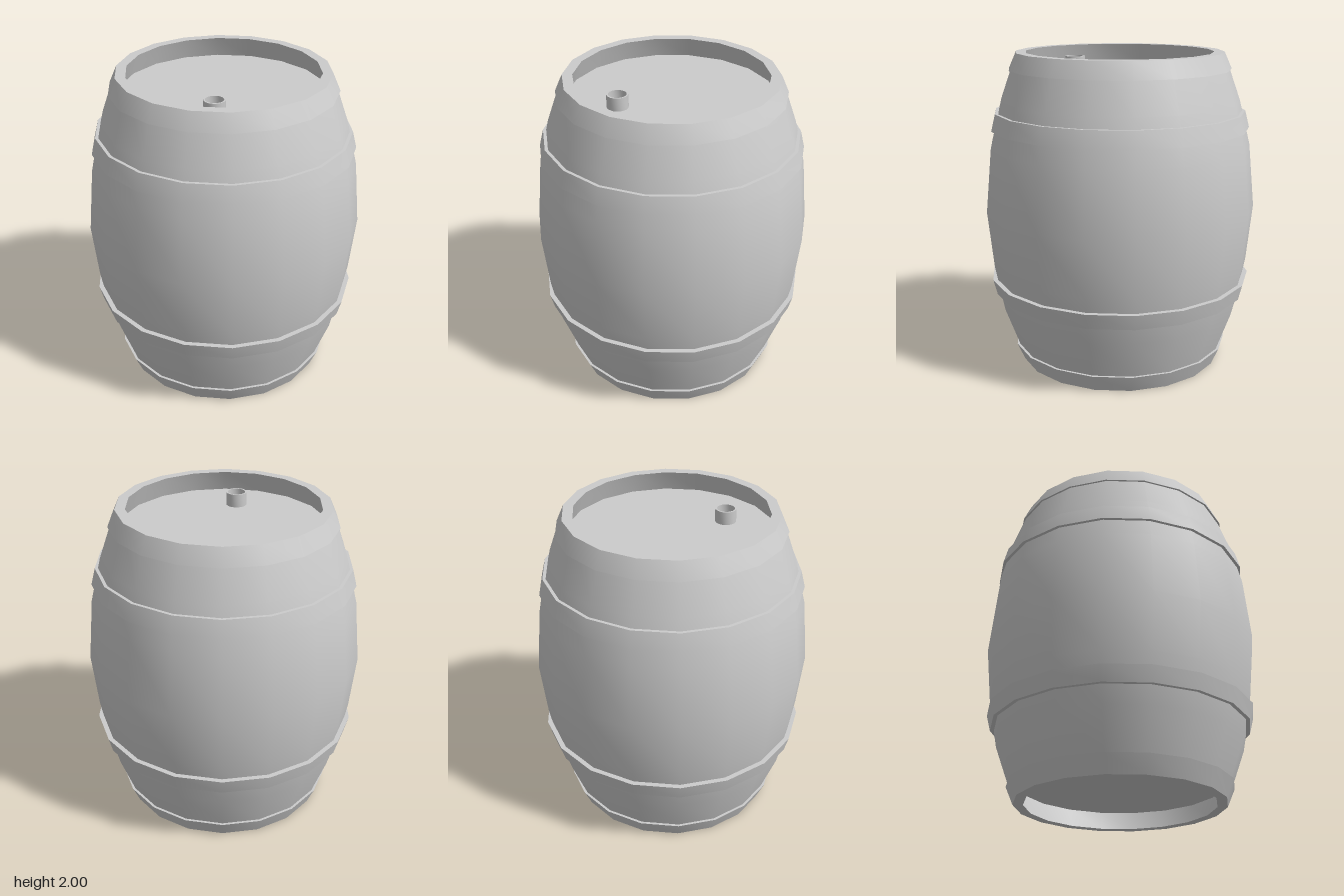
import * as THREE from 'three';
import { toCreasedNormals } from 'three/addons/utils/BufferGeometryUtils.js';

const SIDES = 18;

// Turned part from [radius, y] points, listed from the underside outward and up
function turned(name, points, sides = SIDES) {
  const profile = points.map(([r, y]) => new THREE.Vector2(r, y));
  const lathe = new THREE.LatheGeometry(profile, sides, Math.PI / 2);
  const material = new THREE.MeshStandardMaterial({ color: 0xcccccc });
  const mesh = new THREE.Mesh(toCreasedNormals(lathe, 0.5), material);
  mesh.name = name;
  return mesh;
}

// Metal band: lower and upper outer radius, seated against the staves
function hoop(name, y0, r0, y1, r1, depth = 0.035) {
  return turned(name, [[r0 - depth, y0], [r0, y0], [r1, y1], [r1 - depth, y1], [r0 - depth, y0]]);
}

export function createModel() {
  const barrel = new THREE.Group();
  barrel.name = 'barrel';

  // Bulging staves with thick rims and recessed heads at both ends
  barrel.add(turned('body', [
    [0, 0.12], [0.635, 0.12], [0.59, 0], [0.65, 0],
    [0.69, 0.13], [0.773, 0.36], [0.83, 0.66], [0.866, 1.02],
    [0.827, 1.42], [0.757, 1.7], [0.65, 2],
    [0.59, 2], [0.635, 1.87], [0, 1.87],
  ]));

  // Hoops, each flared towards the middle of the barrel
  barrel.add(
    hoop('bottomHoop', 0, 0.653, 0.11, 0.7),
    hoop('lowerHoop', 0.47, 0.818, 0.568, 0.843),
    hoop('upperHoop', 1.53, 0.82, 1.635, 0.793),
    hoop('topHoop', 1.895, 0.7, 2, 0.653),
  );

  // Short hollow bung collar on the top head
  const collar = turned('bungCollar', [
    [0.065, 0], [0.065, 0.085], [0.055, 0.085], [0.055, 0.01], [0, 0.01],
  ], 16);
  collar.position.set(-0.012, 1.867, 0.355);
  barrel.add(collar);

  return barrel;
}
